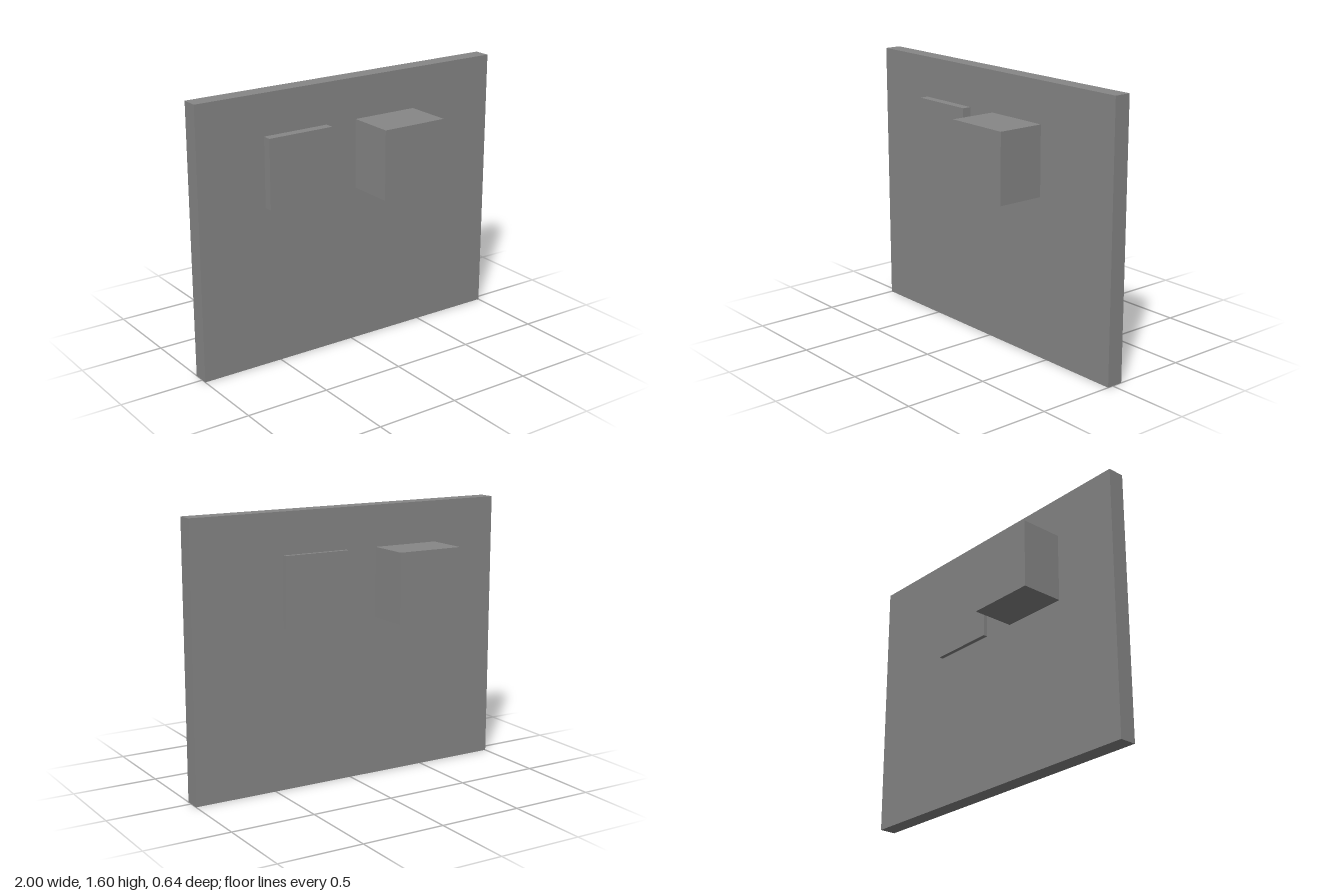
import * as THREE from 'three';

export function createModel() {
  const group = new THREE.Group();
  const material = new THREE.MeshStandardMaterial({ color: 0x878787 });

  const addBox = (name, size, position) => {
    const mesh = new THREE.Mesh(new THREE.BoxGeometry(...size), material);
    mesh.name = name;
    mesh.position.set(...position);
    group.add(mesh);
  };

  // Upright wall panel
  addBox('wallPanel', [2, 1.6, 0.1], [0, 0.8, -0.015]);

  // Equal cubes set through the panel, one mostly behind and one mostly in front
  const cube = [0.41, 0.41, 0.41];
  addBox('rearCube', cube, [-0.376, 1.152, -0.116]);
  addBox('frontCube', cube, [0.232, 1.152, 0.115]);

  return group;
}
